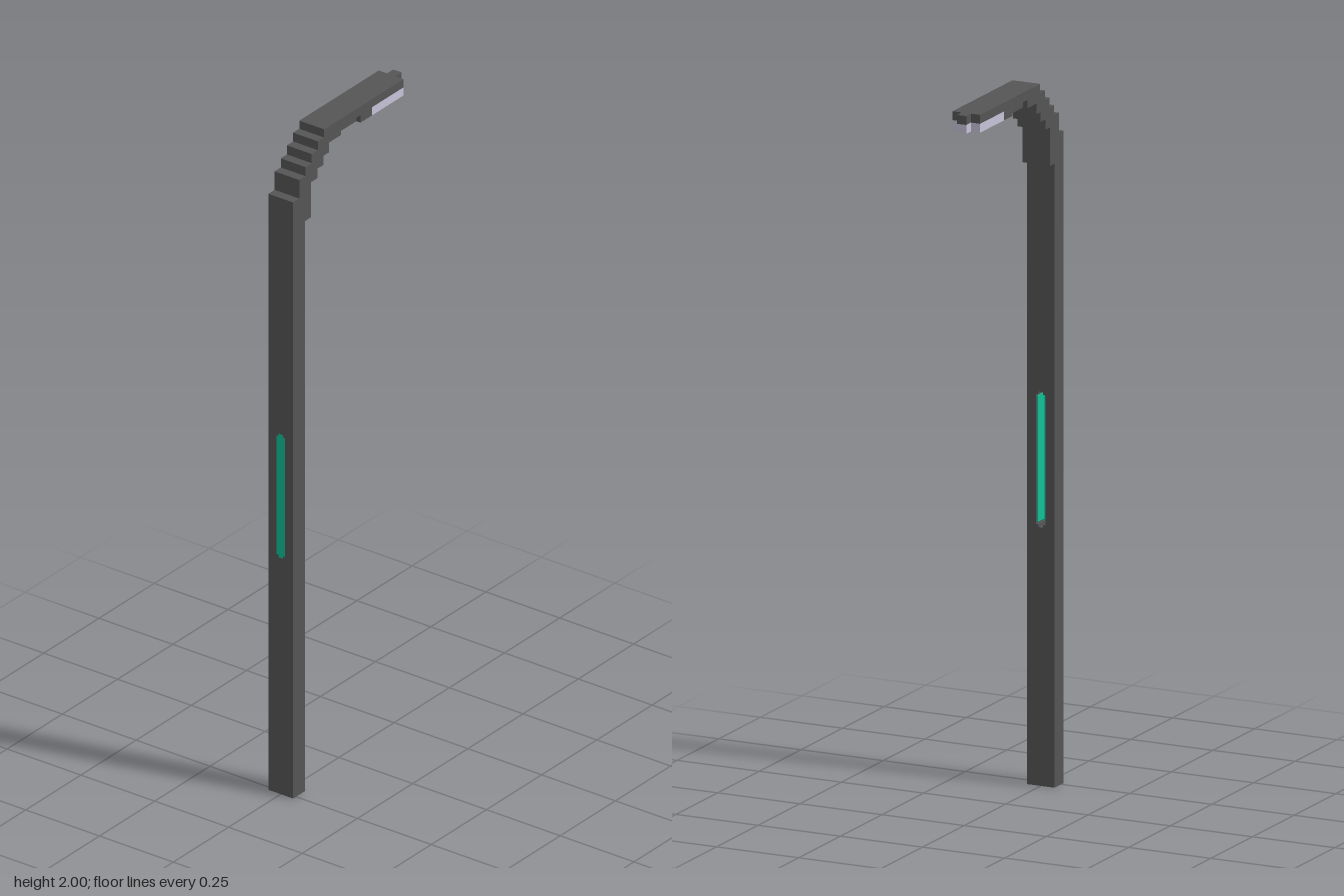
import * as THREE from 'three';

const darkMetal = new THREE.MeshStandardMaterial({ color: 0x555555 });
darkMetal.name = 'dark metal';
const greenPanel = new THREE.MeshStandardMaterial({ color: 0x10c096 });
greenPanel.name = 'green panel';
const lampGlass = new THREE.MeshStandardMaterial({ color: 0xc8c3da });
lampGlass.name = 'pale lamp';

const HALF = 0.042; // half width of post and arm
const polygon = (points) => points.map(([x, y]) => new THREE.Vector2(x, y));

function add(group, name, geometry, material) {
  const mesh = new THREE.Mesh(geometry, material);
  mesh.name = name;
  group.add(mesh);
  return mesh;
}

function box(group, name, material, x0, x1, y0, y1, z0, z1) {
  const mesh = add(group, name, new THREE.BoxGeometry(x1 - x0, y1 - y0, z1 - z0), material);
  mesh.position.set((x0 + x1) / 2, (y0 + y1) / 2, (z0 + z1) / 2);
  return mesh;
}

const extrude = (shape, depth) => new THREE.ExtrudeGeometry(shape, { depth, bevelEnabled: false });

// Slot outline with stepped ends
const slot = () => polygon([
  [-0.015, 0.735], [-0.007, 0.735], [-0.007, 0.727], [0.007, 0.727], [0.007, 0.735], [0.015, 0.735],
  [0.015, 1.1], [0.007, 1.1], [0.007, 1.108], [-0.007, 1.108], [-0.007, 1.1], [-0.015, 1.1],
]);

export function createModel() {
  const group = new THREE.Group();
  group.name = 'streetLamp';

  // Post with a slot through it
  const postShape = new THREE.Shape(polygon([[-HALF, 0], [HALF, 0], [HALF, 1.755], [-HALF, 1.755]]));
  postShape.holes.push(new THREE.Path(slot()));
  add(group, 'post', extrude(postShape, 0.053), darkMetal).position.z = 0.21;

  // Green strip closing the front of the slot, and its inner side
  add(group, 'frontStrip', extrude(new THREE.Shape(slot()), 0.009), greenPanel).position.z = 0.254;
  box(group, 'innerStrip', greenPanel, 0.011, 0.0148, 0.74, 1.095, 0.215, 0.254);

  // Stepped bend and arm, drawn as (z, y) and extruded across x
  const armShape = new THREE.Shape(polygon([
    [0.263, 1.755], [0.263, 1.835], [0.235, 1.835], [0.235, 1.892], [0.207, 1.892], [0.207, 1.92],
    [0.179, 1.92], [0.179, 1.948], [0.151, 1.948], [0.151, 1.975], [0.123, 1.975], [0.123, 2],
    [-0.237, 2], [-0.237, 1.975], [-0.094, 1.975], [-0.094, 1.95], [-0.042, 1.95], [-0.042, 1.973],
    [0.047, 1.973], [0.047, 1.95], [0.1, 1.95], [0.1, 1.92], [0.126, 1.92], [0.126, 1.892],
    [0.154, 1.892], [0.154, 1.863], [0.183, 1.863], [0.183, 1.755],
  ]));
  const armGeometry = extrude(armShape, HALF * 2);
  armGeometry.rotateY(-Math.PI / 2);
  add(group, 'arm', armGeometry, darkMetal).position.x = HALF;
  box(group, 'armTip', darkMetal, -0.014, 0.014, 1.975, 2, -0.265, -0.237);
  box(group, 'armCore', darkMetal, -0.028, 0.028, 1.95, 1.973, -0.042, 0.047);

  // Lamp under the end of the arm
  box(group, 'lamp', lampGlass, -HALF, HALF, 1.95, 1.975, -0.237, -0.094);
  box(group, 'lampTip', lampGlass, -0.014, 0.014, 1.95, 1.975, -0.265, -0.237);

  return group;
}
